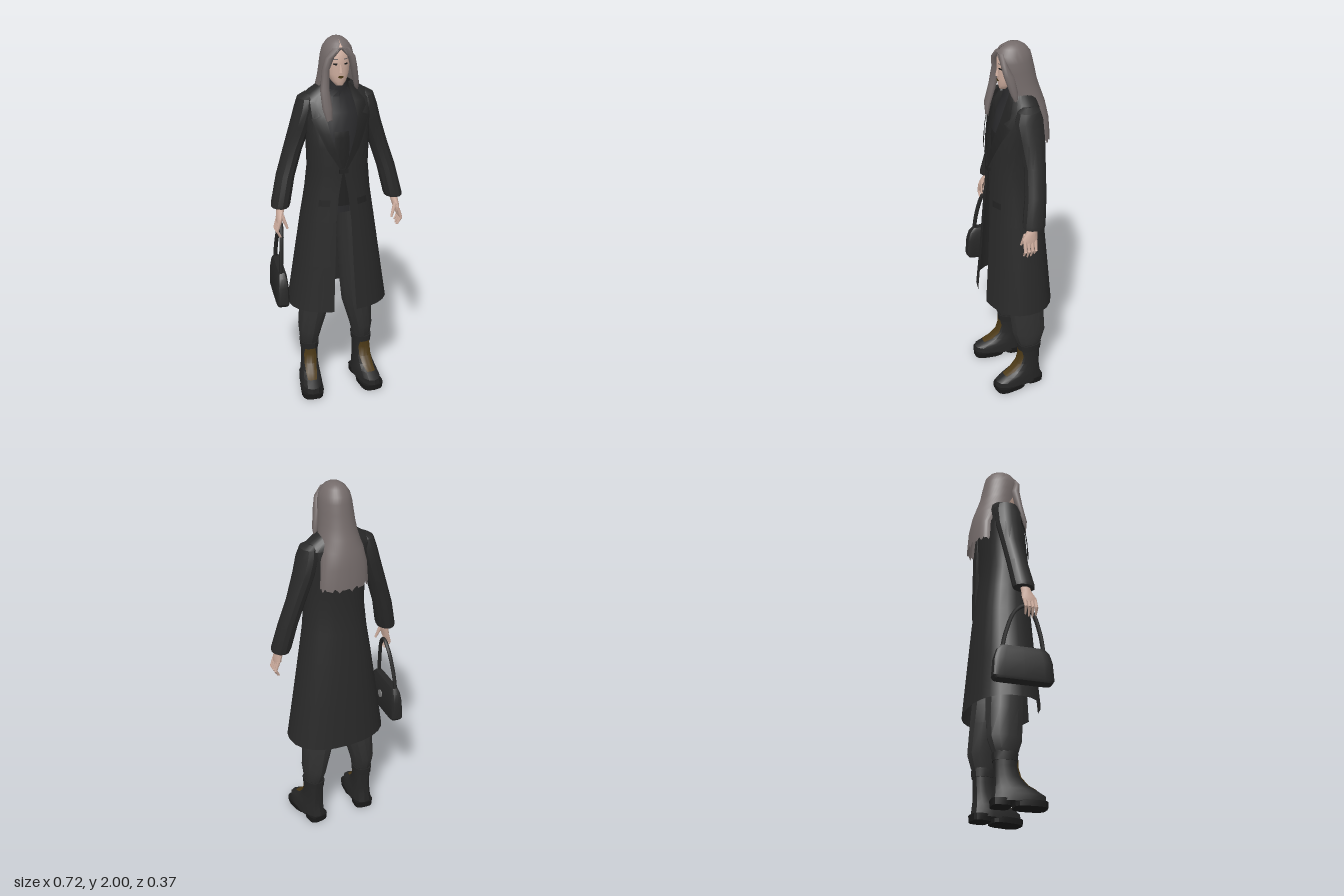
import * as THREE from 'three';
import { toCreasedNormals } from 'three/addons/utils/BufferGeometryUtils.js';

const mat = (name, color, side = THREE.FrontSide) => {
  const m = new THREE.MeshStandardMaterial({ color, side });
  m.name = name;
  return m;
};

// Loft of horizontal sections, bottom to top: [y, cx, cz, rx, rz, opening angle at the front]
function loft(rings, { n = 16, p = 1, crease = 0.5, open = false, ragged = 0 } = {}) {
  const pos = [], idx = [], cols = open ? n + 1 : n;
  const pw = (v) => Math.sign(v) * Math.abs(v) ** p;
  rings.forEach(([y, cx, cz, rx, rz, t0 = 0], i) => {
    for (let j = 0; j < cols; j++) {
      const t = t0 + (j / n) * (Math.PI * 2 - 2 * t0);
      const drop = i === 0 ? ragged * Math.sin(j * 2.7) * Math.cos(j * 1.3) : 0;
      pos.push(cx + rx * pw(Math.sin(t)), y + drop, cz + rz * pw(Math.cos(t)));
    }
  });
  for (let i = 0; i < rings.length - 1; i++) {
    for (let j = 0; j < n; j++) {
      const k = (j + 1) % cols;
      const a = i * cols + j, b = i * cols + k, c = a + cols, d = b + cols;
      idx.push(a, b, d, a, d, c);
    }
  }
  if (!open) {
    [0, rings.length - 1].forEach((i) => {
      const centre = pos.length / 3, [y, cx, cz] = rings[i];
      pos.push(cx, y, cz);
      for (let j = 0; j < n; j++) {
        const a = i * cols + j, b = i * cols + ((j + 1) % n);
        if (i === 0) idx.push(centre, b, a);
        else idx.push(centre, a, b);
      }
    });
  }
  return creased(pos, idx, crease);
}

function creased(pos, idx, angle) {
  const g = new THREE.BufferGeometry();
  g.setAttribute('position', new THREE.Float32BufferAttribute(pos, 3));
  g.setIndex(idx);
  return toCreasedNormals(g, angle);
}

// Front surface depth of a loft at (x, y)
function frontZ(rings, x, y, p) {
  let i = 0;
  while (i < rings.length - 2 && y > rings[i + 1][0]) i++;
  const f = (y - rings[i][0]) / (rings[i + 1][0] - rings[i][0]);
  const [, cx, cz, rx, rz] = rings[i].map((v, k) => v + (rings[i + 1][k] - v) * f);
  const s = Math.min(1, Math.abs(x - cx) / rx) ** (1 / p);
  return cz + rz * Math.sqrt(1 - s * s) ** p;
}

// Thin panel lying on the front of a loft; rows are [y, x0, x1]
function panel(rings, rows, p, lift = 0.01) {
  const pos = [], idx = [], n = 5;
  rows.forEach(([y, x0, x1], i) => {
    for (let j = 0; j <= n; j++) {
      const x = x0 + ((x1 - x0) * j) / n;
      pos.push(x, y, frontZ(rings, x, y, p) + lift);
      if (i && j) {
        const d = i * (n + 1) + j, c = d - 1, b = d - n - 1, a = b - 1;
        idx.push(a, b, d, a, d, c);
      }
    }
  });
  return creased(pos, idx, 0.5);
}

// Tapered rod between two points
function rod(a, b, r0, r1) {
  const p = new THREE.Vector3(...a), q = new THREE.Vector3(...b), d = q.clone().sub(p);
  const g = new THREE.CylinderGeometry(r1, r0, d.length(), 7);
  g.applyQuaternion(new THREE.Quaternion().setFromUnitVectors(new THREE.Vector3(0, 1, 0), d.normalize()));
  return g.translate(...p.add(q).multiplyScalar(0.5).toArray());
}

export function createModel() {
  const model = new THREE.Group();
  const D = THREE.DoubleSide;
  const skin = mat('skin', 0xcfae9f), hair = mat('ash hair', 0x746b6a, D), coatCloth = mat('coat black', 0x292929, D);
  const lapelCloth = mat('lapel black', 0x222222, D), trouserCloth = mat('trouser charcoal', 0x313131);
  const knit = mat('sweater charcoal', 0x2b2b2d), leather = mat('boot and bag leather', 0x262626);
  const rubber = mat('sole black', 0x1a1a1a), brown = mat('brown lacing', 0x4d3a17, D), silver = mat('silver', 0x777777);
  const add = (name, geometry, material, parent = model) => {
    const m = new THREE.Mesh(geometry, material);
    m.name = name;
    parent.add(m);
    return m;
  };

  // Coat: y, half width, front z, back z, half opening
  const P = 0.88;
  const coat = [
    [0.54, 0.27, 0.185, -0.185, 0.062], [0.8, 0.232, 0.165, -0.165, 0.05], [1.05, 0.195, 0.15, -0.145, 0.04],
    [1.2, 0.172, 0.14, -0.125, 0.025], [1.33, 0.16, 0.135, -0.11, 0.003], [1.45, 0.163, 0.135, -0.112, 0.045],
    [1.58, 0.17, 0.12, -0.115, 0.085], [1.68, 0.19, 0.07, -0.11, 0.075], [1.72, 0.145, 0.05, -0.1, 0.065],
    [1.765, 0.075, 0.035, -0.075, 0.055],
  ].map(([y, a, f, b, g]) => [y, 0, (f + b) / 2, a, (f - b) / 2, Math.asin((g / a) ** (1 / P))]);
  add('coat', loft(coat, { n: 22, p: P, open: true }), coatCloth);
  for (const s of [1, -1]) {
    const rows = [[1.33, 0.002, 0.012], [1.45, 0.04, 0.085], [1.53, 0.066, 0.12], [1.6, 0.08, 0.15],
      [1.62, 0.08, 0.11], [1.65, 0.075, 0.135], [1.68, 0.07, 0.13], [1.72, 0.06, 0.1], [1.76, 0.05, 0.065]];
    add('lapel', panel(coat, rows.map(([y, a, b]) => [y, a * s, b * s]), P), lapelCloth);
    add('pocketFlap', panel(coat, [[1.14, 0.075 * s, 0.13 * s], [1.175, 0.07 * s, 0.125 * s]], P, 0.008), lapelCloth);
    // Sleeves
    add('sleeve', loft([
      [1.12, 0.308, 0.01, 0.048, 0.058], [1.14, 0.303, 0.008, 0.051, 0.06], [1.28, 0.272, -0.012, 0.05, 0.056],
      [1.42, 0.228, -0.025, 0.05, 0.056], [1.55, 0.185, -0.025, 0.054, 0.07], [1.64, 0.162, -0.02, 0.053, 0.075],
      [1.69, 0.152, -0.022, 0.047, 0.06], [1.71, 0.14, -0.025, 0.025, 0.035],
    ].map(([y, x, ...r]) => [y, x * s, ...r]), { n: 12 }), coatCloth);
    // Hands with curled fingers
    const hand = new THREE.Group();
    hand.name = s > 0 ? 'leftHand' : 'rightHand';
    model.add(hand);
    add('palm', loft([
      [1.035, 0.322, 0.036, 0.012, 0.036], [1.065, 0.318, 0.034, 0.017, 0.04],
      [1.1, 0.31, 0.022, 0.02, 0.028], [1.15, 0.305, 0.012, 0.02, 0.024],
    ].map(([y, x, ...r]) => [y, x * s, ...r]), { n: 10, crease: 1 }), skin, hand);
    for (let i = 0; i < 4; i++) {
      const z = 0.008 + i * 0.019, tip = 0.95 + Math.abs(i - 1.6) * 0.01;
      const knuckle = [0.338 * s, 1.0, z + 0.002];
      add('finger', rod([0.322 * s, 1.05, z], knuckle, 0.01, 0.0085), skin, hand);
      add('fingertip', rod(knuckle, [0.318 * s, tip, z + 0.004], 0.0085, 0.004), skin, hand);
    }
    add('thumb', rod([0.308 * s, 1.08, 0.055], [0.283 * s, 1.01, 0.07], 0.012, 0.006), skin, hand);
    // Trousers, gathered above the ankle
    add('trouserLeg', loft([
      [0.25, 0.15, -0.035, 0.042, 0.055], [0.285, 0.15, -0.035, 0.052, 0.072], [0.35, 0.145, -0.035, 0.063, 0.094],
      [0.5, 0.12, -0.028, 0.083, 0.098], [0.6, 0.11, -0.02, 0.085, 0.1], [0.9, 0.085, -0.005, 0.08, 0.1],
      [1.15, 0.06, 0, 0.065, 0.095],
    ].map(([y, x, ...r]) => [y, x * s, ...r]), { n: 12 }), trouserCloth);
    // Boots, toes turned outward
    const boot = new THREE.Group();
    boot.name = s > 0 ? 'leftBoot' : 'rightBoot';
    boot.position.set(0.15 * s, 0, -0.035);
    boot.rotation.y = 0.13 * s;
    model.add(boot);
    const upper = [[0.022, 0, 0.068, 0.06, 0.14], [0.06, 0, 0.07, 0.059, 0.136], [0.085, 0, 0.05, 0.055, 0.112],
      [0.11, 0, 0.027, 0.05, 0.085], [0.15, 0, 0.009, 0.046, 0.066], [0.2, 0, 0.001, 0.045, 0.059], [0.275, 0, 0, 0.048, 0.062]];
    add('bootUpper', loft(upper, { n: 14, p: 0.8 }), leather, boot);
    add('bootCuff', loft([[0.228, 0, 0, 0.05, 0.064], [0.268, 0, 0, 0.053, 0.067]], { n: 14, p: 0.8 }), leather, boot);
    add('bootLacing', panel(upper, [[0.09, -0.024, 0.024], [0.11, -0.03, 0.03], [0.15, -0.034, 0.034],
      [0.2, -0.034, 0.034], [0.235, -0.028, 0.028]], 0.8, 0.006), brown, boot);
    add('bootSole', loft([[0, 0, 0.125, 0.06, 0.086], [0.03, 0, 0.125, 0.064, 0.087]], { n: 14, p: 0.6 }), rubber, boot);
    add('bootHeel', loft([[0, 0, -0.022, 0.052, 0.05], [0.035, 0, -0.022, 0.055, 0.052]], { n: 14, p: 0.6 }), rubber, boot);
  }
  add('coatClasp', new THREE.BoxGeometry(0.045, 0.022, 0.012).translate(0, 1.33, 0.14), lapelCloth);

  // Roll-neck sweater and dark front panel
  const torso = [[1.08, 0, 0, 0.12, 0.095], [1.3, 0, 0.01, 0.11, 0.09], [1.5, 0, 0.01, 0.125, 0.095],
    [1.62, 0, 0, 0.12, 0.08], [1.7, 0, -0.01, 0.085, 0.06], [1.735, 0, 0, 0.053, 0.052], [1.785, 0, 0.01, 0.046, 0.047]];
  add('sweater', loft(torso, { n: 16 }), knit);
  add('frontPanel', panel(torso, [[1.12, -0.045, 0.045], [1.3, -0.04, 0.04], [1.5, -0.038, 0.038], [1.53, -0.038, 0.038]], 1, 0.006), lapelCloth);

  // Head and face
  const head = [[1.762, 0, 0.05, 0.02, 0.022], [1.785, 0, 0.035, 0.04, 0.044], [1.82, 0, 0.018, 0.055, 0.063],
    [1.87, 0, 0.01, 0.062, 0.073], [1.92, 0, 0.005, 0.063, 0.078], [1.965, 0, 0, 0.045, 0.06], [1.98, 0, 0, 0.015, 0.02]];
  add('head', loft(head, { n: 20, crease: 1.2 }), skin);
  add('nose', rod([0, 1.833, 0.083], [0, 1.88, 0.078], 0.011, 0.004), skin);
  add('lips', panel(head, [[1.803, -0.006, 0.006], [1.809, -0.016, 0.016], [1.816, -0.008, 0.008]], 1, 0.003), brown);
  for (const s of [-1, 1]) {
    add('eye', panel(head, [[1.871, 0.028 * s - 0.008, 0.028 * s + 0.008], [1.88, 0.028 * s - 0.01, 0.028 * s + 0.01]], 1, 0.003), rubber);
    add('eyebrow', panel(head, [[1.898, 0.028 * s - 0.014, 0.028 * s + 0.014], [1.903, 0.028 * s - 0.013, 0.028 * s + 0.013]], 1, 0.003), hair);
  }

  // Long hair, open around the face, with a ragged hem
  add('hair', loft([
    [1.49, 0.005, -0.115, 0.132, 0.065, 1.5], [1.6, 0.003, -0.108, 0.125, 0.066, 1.5], [1.68, 0, -0.075, 0.113, 0.085, 1.45],
    [1.74, 0, -0.035, 0.101, 0.105, 1.2], [1.8, 0, -0.02, 0.092, 0.1, 0.95], [1.86, 0, -0.008, 0.087, 0.1, 0.75],
    [1.91, 0, 0, 0.082, 0.097, 0.55], [1.945, 0, 0.002, 0.073, 0.09, 0.22], [1.975, 0, 0.002, 0.053, 0.066, 0.03],
    [1.992, 0, 0, 0.03, 0.038], [2.0, 0, 0, 0.002, 0.002],
  ], { n: 32, crease: 1.3, open: true, ragged: 0.014 }), hair);
  add('rightLock', loft([
    [1.6, -0.068, 0.115, 0.016, 0.006], [1.66, -0.076, 0.108, 0.026, 0.016], [1.75, -0.082, 0.078, 0.024, 0.02],
    [1.85, -0.072, 0.062, 0.019, 0.024], [1.91, -0.055, 0.075, 0.022, 0.018], [1.955, -0.015, 0.07, 0.025, 0.016],
  ], { n: 10, crease: 1.3, ragged: 0.01 }), hair);
  add('leftLock', loft([
    [1.71, 0.1, 0.02, 0.005, 0.005], [1.76, 0.094, 0.03, 0.014, 0.02], [1.85, 0.075, 0.05, 0.017, 0.027],
    [1.91, 0.057, 0.07, 0.02, 0.018], [1.955, 0.02, 0.07, 0.025, 0.016],
  ], { n: 10, crease: 1.3 }), hair);

  // Handbag hanging from the right hand
  const bag = new THREE.Group();
  bag.name = 'handbag';
  bag.position.set(-0.318, 0, -0.005);
  bag.rotation.y = -0.07;
  model.add(bag);
  add('bagBody', loft([[0.59, 0, 0, 0.033, 0.15], [0.605, 0, 0, 0.037, 0.16], [0.7, 0, 0, 0.034, 0.153],
    [0.75, 0, 0, 0.027, 0.138], [0.775, 0, 0, 0.018, 0.115]], { n: 20, p: 0.35 }), leather, bag);
  const strapPath = new THREE.CatmullRomCurve3([[-0.005, 0.75, -0.11], [0, 0.86, -0.085], [0.01, 0.98, -0.035], [0.012, 1.02, 0.02],
    [0.01, 0.98, 0.06], [0, 0.86, 0.095], [-0.005, 0.75, 0.11]].map((v) => new THREE.Vector3(...v)));
  add('bagStrap', new THREE.TubeGeometry(strapPath, 28, 0.011, 6), leather, bag);
  add('bagDisc', new THREE.CylinderGeometry(0.022, 0.022, 0.006, 16).rotateZ(Math.PI / 2).translate(0.037, 0.685, 0), silver, bag);
  return model;
}
